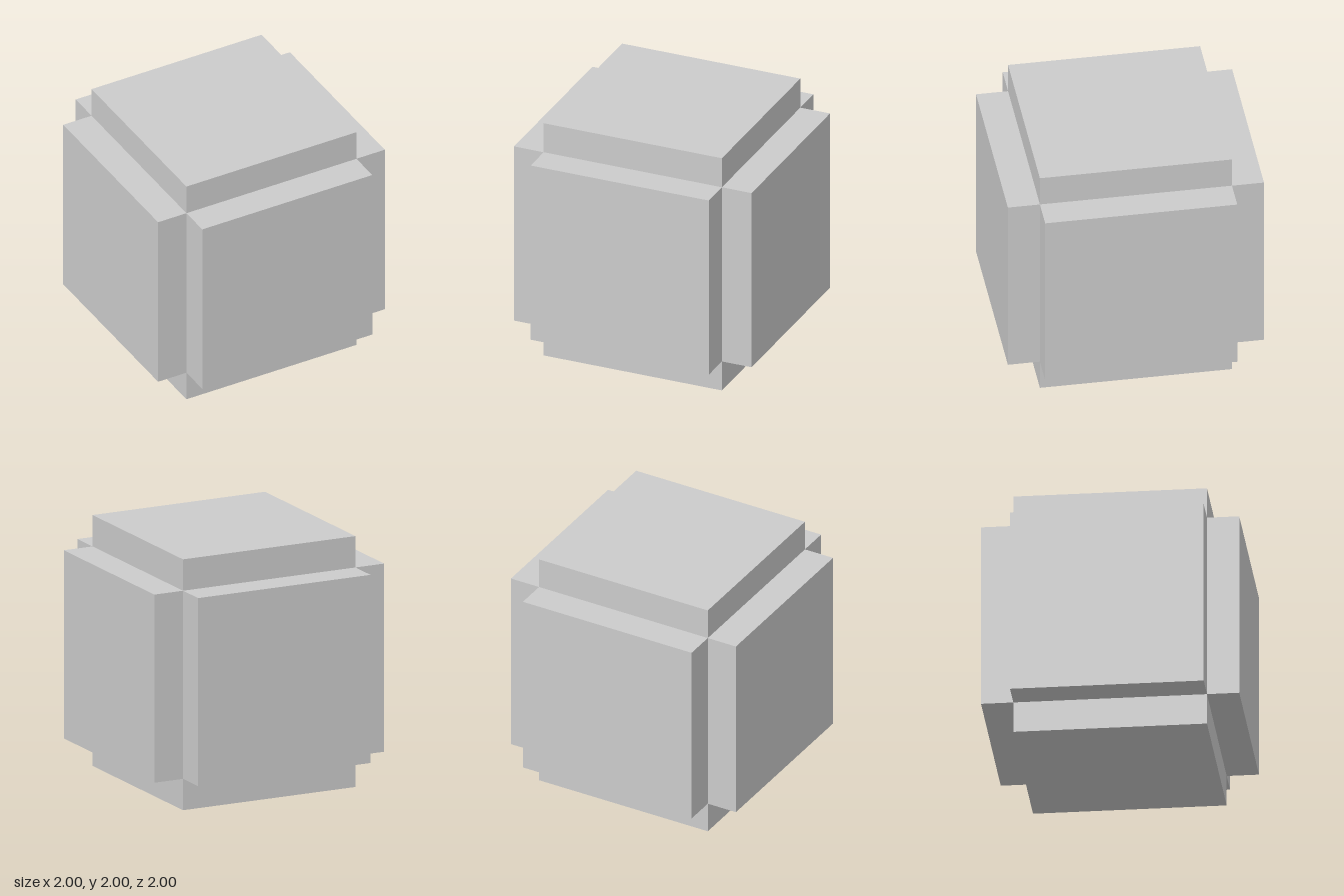
import * as THREE from 'three';

const LENGTH = 2;   // end to end along each axis
const WIDTH = 1.5;  // square cross-section of each block

export function createModel() {
  const group = new THREE.Group();
  group.name = 'steppedCube';
  const material = new THREE.MeshStandardMaterial({ color: 0xcccccc, flatShading: true });

  // Three identical square blocks crossing at the centre, one per axis;
  // their ends form the six raised face panels.
  const blocks = { sidePanels: 'x', topAndBottomPanels: 'y', frontAndBackPanels: 'z' };
  for (const [name, axis] of Object.entries(blocks)) {
    const size = new THREE.Vector3(WIDTH, WIDTH, WIDTH);
    size[axis] = LENGTH;
    const block = new THREE.Mesh(new THREE.BoxGeometry(size.x, size.y, size.z), material);
    block.name = name;
    block.position.y = LENGTH / 2;
    group.add(block);
  }
  return group;
}
